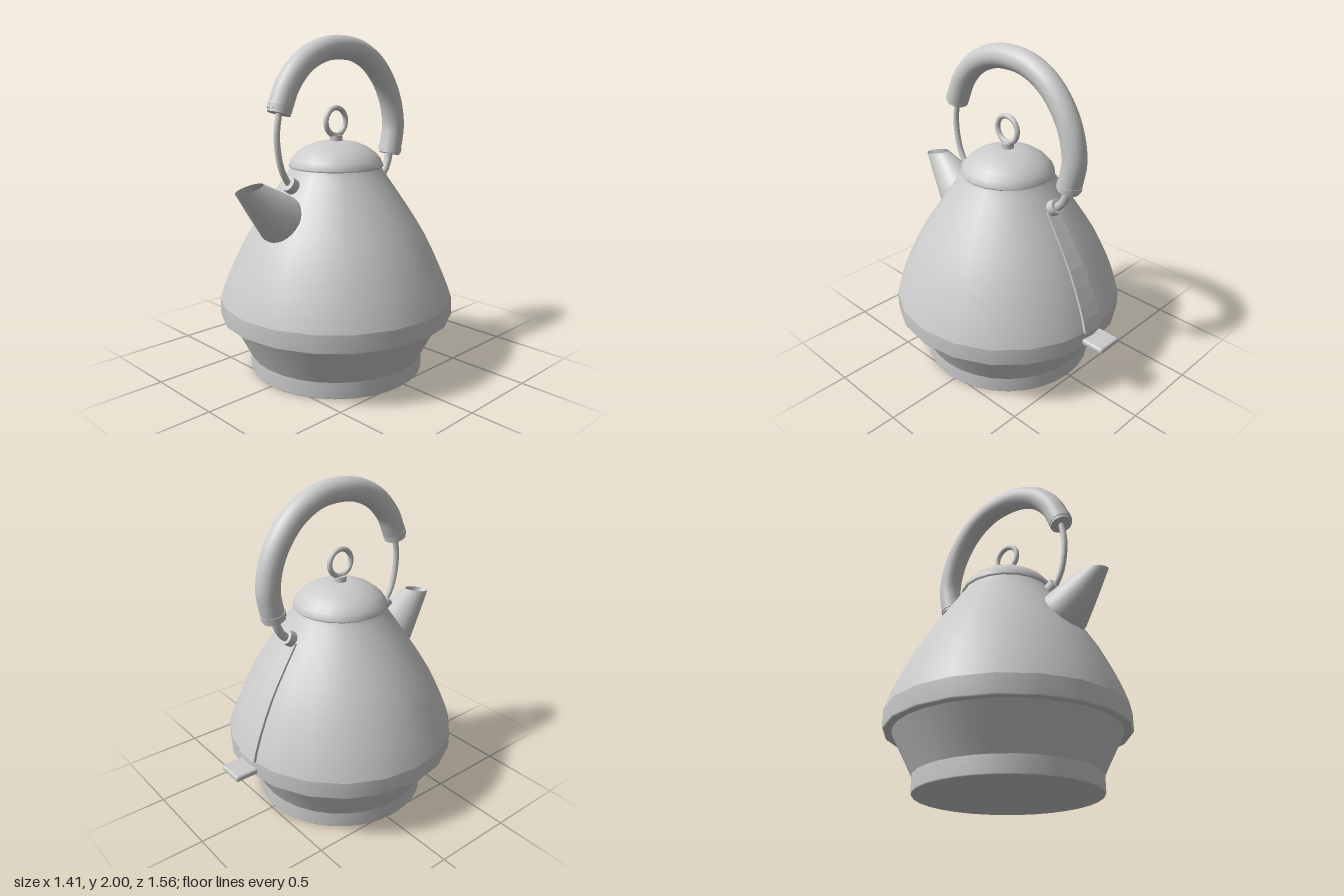
import * as THREE from 'three';
import { RoundedBoxGeometry } from 'three/addons/geometries/RoundedBoxGeometry.js';

const AXIS_Z = 0.047; // the vessel's axis sits slightly forward
const grey = new THREE.MeshStandardMaterial({ color: 0xcccccc });
const greyThin = new THREE.MeshStandardMaterial({ color: 0xcccccc, side: THREE.DoubleSide });

export function createModel() {
  const model = new THREE.Group();

  const add = (name, geometry, x = 0, y = 0, z = 0, material = grey) => {
    const mesh = new THREE.Mesh(geometry, material);
    mesh.name = name;
    mesh.position.set(x, y, z);
    model.add(mesh);
    return mesh;
  };

  // Turned part from [radius, y] pairs, bottom to top
  const turned = (name, profile, sides) =>
    add(name, new THREE.LatheGeometry(profile.map(([r, y]) => new THREE.Vector2(r, y)), sides), 0, 0, AXIS_Z);

  // Smooth rod through [z, y] pairs in the middle plane
  const rod = (name, path, radius, steps, sides) => {
    const curve = new THREE.CatmullRomCurve3(path.map(([z, y]) => new THREE.Vector3(0, y, z)));
    return add(name, new THREE.TubeGeometry(curve, steps, radius, sides));
  };

  // Short cylinder at [z, y] whose axis points along [dz, dy]
  const collar = (name, [z, y], [dz, dy], radius, length) => {
    const mesh = add(name, new THREE.CylinderGeometry(radius, radius, length, 24), 0, y, z);
    mesh.quaternion.setFromUnitVectors(new THREE.Vector3(0, 1, 0), new THREE.Vector3(0, dy, dz).normalize());
    return mesh;
  };

  // Skin over rings of points; each ring is an array of Vector3
  const loft = (rings, closed) => {
    const n = rings[0].length;
    const index = [];
    for (let i = 0; i < rings.length - 1; i++) {
      for (let j = 0; j < n; j++) {
        const a = i * n + j, b = i * n + (j + 1) % n;
        index.push(a, b, b + n, a, b + n, a + n);
      }
    }
    if (closed) {
      const last = (rings.length - 1) * n;
      for (let j = 1; j < n - 1; j++) index.push(0, j + 1, j, last, last + j, last + j + 1);
    }
    const g = new THREE.BufferGeometry().setFromPoints(rings.flat());
    g.setIndex(index);
    g.computeVertexNormals();
    return g;
  };

  // Base
  turned('baseBottom', [[0, 0], [0.525, 0]], 32);
  turned('baseFoot', [[0.525, 0], [0.53, 0.006], [0.53, 0.1]], 32);
  turned('baseFlare', [[0.53, 0.1], [0.57, 0.18], [0.655, 0.345]], 32);

  // Body
  const shoulder = [[0.705, 0.45], [0.682, 0.52], [0.65, 0.6], [0.605, 0.7], [0.555, 0.8],
    [0.495, 0.9], [0.43, 1.0], [0.362, 1.1], [0.285, 1.21], [0.27, 1.24]];
  turned('bodyUnderside', [[0.6, 0.34], [0.698, 0.34]], 20);
  turned('bodyRim', [[0.698, 0.34], [0.705, 0.348], [0.705, 0.45]], 20);
  turned('body', shoulder, 20);

  // Lid, with its stem and ring
  turned('lidUnderside', [[0.2, 1.238], [0.278, 1.238]], 20);
  turned('lid', [[0.278, 1.238], [0.285, 1.248], [0.268, 1.285], [0.235, 1.32], [0.19, 1.352],
    [0.13, 1.378], [0.07, 1.389], [0, 1.391]], 20);
  add('lidStem', new THREE.CylinderGeometry(0.038, 0.038, 0.045, 16), 0, 1.4, AXIS_Z);
  add('lidRing', new THREE.TorusGeometry(0.08, 0.016, 12, 32), 0, 1.503, AXIS_Z).rotation.y = Math.PI / 2;

  // Handle: thick grip, end collars and thin rods down to the body
  rod('grip', [[0.468, 1.61], [0.41, 1.73], [0.3, 1.845], [0.16, 1.912], [0.02, 1.93], [-0.13, 1.91],
    [-0.27, 1.835], [-0.38, 1.71], [-0.44, 1.58], [-0.462, 1.45], [-0.452, 1.37], [-0.435, 1.3]], 0.07, 64, 20);
  collar('gripCollarFront', [0.472, 1.602], [0.3, -0.95], 0.071, 0.03);
  collar('gripCapFront', [0.477, 1.58], [0.3, -0.95], 0.066, 0.02);
  collar('gripCollarBack', [-0.435, 1.3], [0.24, -0.97], 0.073, 0.03);
  collar('gripCapBack', [-0.43, 1.28], [0.24, -0.97], 0.067, 0.02);
  rod('rodFront', [[0.475, 1.59], [0.496, 1.46], [0.487, 1.34], [0.458, 1.24], [0.4, 1.15]], 0.018, 24, 12);
  rod('rodBack', [[-0.428, 1.29], [-0.415, 1.23], [-0.385, 1.17], [-0.32, 1.11]], 0.025, 16, 12);
  collar('rodMountFront', [0.403, 1.165], [0.83, 0.55], 0.046, 0.05);
  collar('rodMountBack', [-0.335, 1.13], [-0.83, 0.55], 0.046, 0.05);

  // Spout: elliptical rings as centre [z, y], half axis [dz, dy] and half width
  const spoutRing = ([z, y], [dz, dy], width) =>
    Array.from({ length: 28 }, (_, i) => {
      const t = (i / 28) * Math.PI * 2;
      return new THREE.Vector3(width * Math.cos(t), y + dy * Math.sin(t), z + dz * Math.sin(t));
    });
  add('spout', loft([
    spoutRing([0.44, 0.955], [-0.077, 0.12], 0.147),
    spoutRing([0.497, 0.99], [-0.077, 0.12], 0.142),
    spoutRing([0.6, 1.09], [-0.085, 0.067], 0.098),
    spoutRing([0.692, 1.18], [-0.087, 0.02], 0.056),
  ], false), 0, 0, 0, greyThin);

  // Water gauge strip following the back of the body
  const strip = shoulder.slice(0, 8).map(([r, y], i) => {
    const w = 0.076 - 0.0045 * i;
    const outer = AXIS_Z - r - 0.006, inner = outer + 0.04;
    return [[w, outer], [-w, outer], [-w, inner], [w, inner]].map(([x, z]) => new THREE.Vector3(x, y, z));
  });
  const stripGeometry = loft(strip, true).toNonIndexed();
  stripGeometry.computeVertexNormals();
  add('waterGauge', stripGeometry, 0, 0, 0, greyThin);

  // Switch paddle at the back
  add('switchPaddle', new RoundedBoxGeometry(0.166, 0.038, 0.15, 3, 0.014), 0, 0.386, -0.71);

  return model;
}
